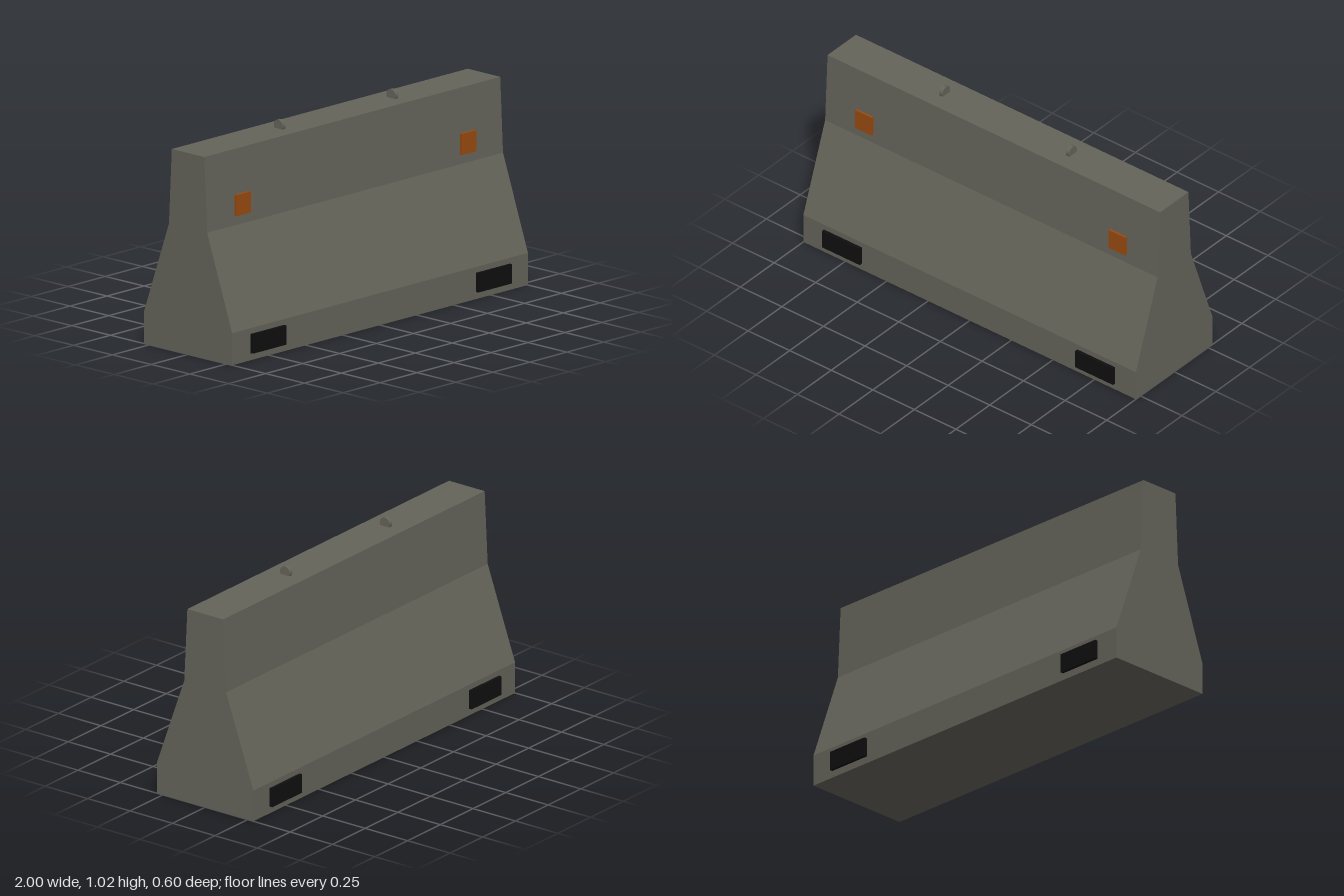
import * as THREE from 'three';

export function createModel() {
  const model = new THREE.Group();
  const mat = (name, color) => {
    const m = new THREE.MeshStandardMaterial({ color });
    m.name = name;
    return m;
  };
  const concrete = mat('concrete', 0x65645a);
  const amber = mat('amber', 0x994a10);
  const rubber = mat('black', 0x0f0f10);

  const add = (name, geometry, material, x, y, z) => {
    const mesh = new THREE.Mesh(geometry, material);
    mesh.name = name;
    mesh.position.set(x, y, z);
    model.add(mesh);
    return mesh;
  };

  // Barrier body: symmetric stepped profile extruded along x
  const half = [[0.284, 0], [0.284, 0.155], [0.123, 0.61], [0.105, 0.973]];
  const outline = [...half, ...half.map(([z, y]) => [-z, y]).reverse()];
  const profile = new THREE.Shape(outline.map(([z, y]) => new THREE.Vector2(z, y)));
  const bodyGeometry = new THREE.ExtrudeGeometry(profile, { depth: 2, bevelEnabled: false });
  bodyGeometry.translate(0, 0, -1).rotateY(Math.PI / 2);
  add('barrierBody', bodyGeometry, concrete, 0, 0, 0);

  const padGeometry = new THREE.BoxGeometry(0.228, 0.093, 0.03);
  const reflectorGeometry = new THREE.BoxGeometry(0.1, 0.102, 0.012);
  const lugGeometry = new THREE.CylinderGeometry(0.029, 0.029, 0.019, 24).rotateZ(Math.PI / 2);

  for (const side of [-1, 1]) {
    const label = side > 0 ? 'left' : 'right';
    // Pads at the foot, front and back
    add(label + 'FrontPad', padGeometry, rubber, side * 0.762, 0.081, 0.285);
    add(label + 'BackPad', padGeometry, rubber, side * 0.762, 0.081, -0.285);
    // Reflector on the front face
    add(label + 'Reflector', reflectorGeometry, amber, side * 0.762, 0.706, 0.126);
    // Lifting lug half sunk in the top
    add(label + 'LiftingLug', lugGeometry, concrete, side * 0.381, 0.987, 0);
  }
  return model;
}
